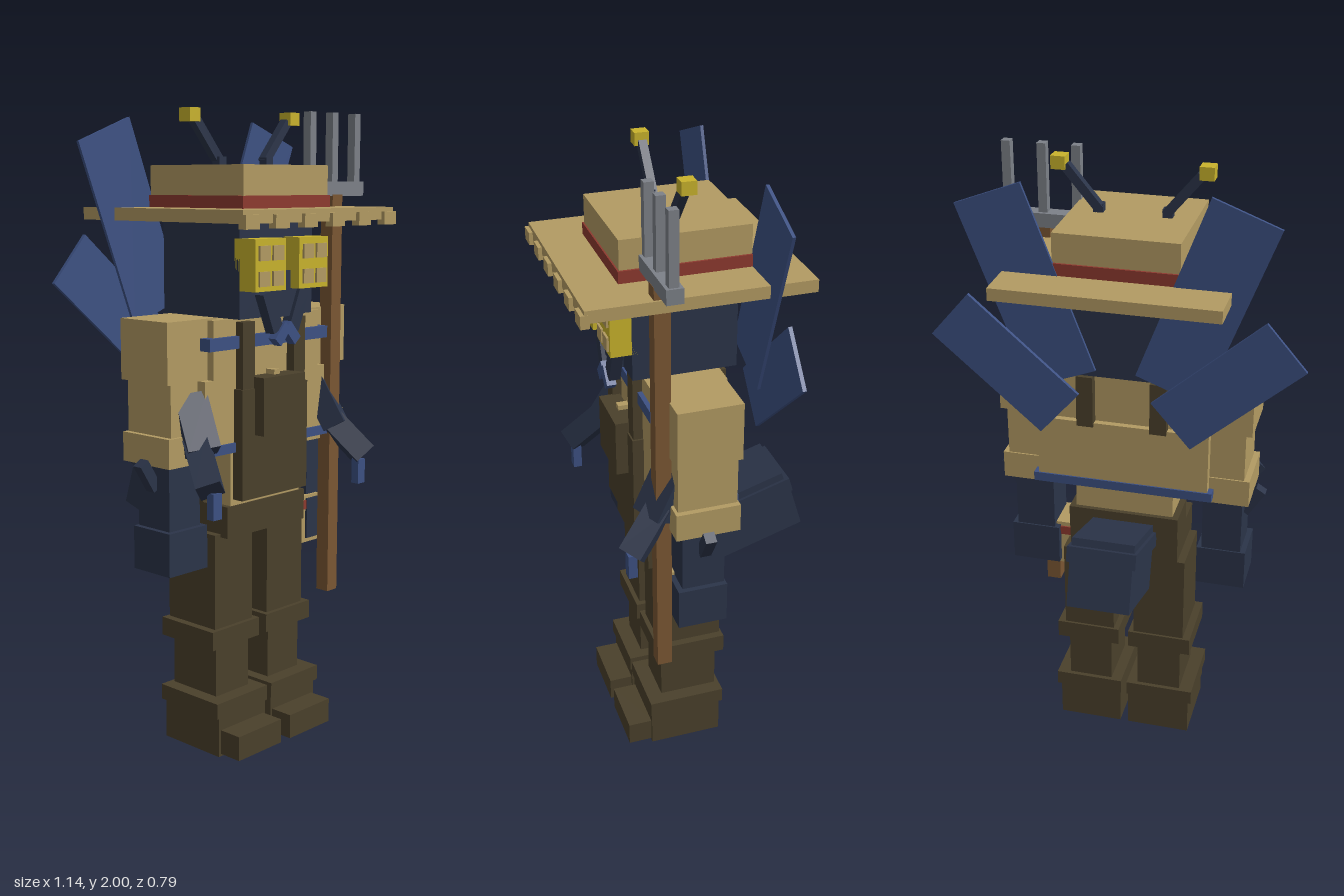
import * as THREE from 'three';

const mat = (name, color) => {
  const m = new THREE.MeshStandardMaterial({ color });
  m.name = name;
  return m;
};

export function createModel() {
  const root = new THREE.Group();
  root.name = 'scarecrowInsect';
  const tan = mat('straw', 0xb39b63), navy = mat('navy', 0x2b3449), blue = mat('blue', 0x3d5183),
    brown = mat('brown', 0x4a402b), yellow = mat('yellow', 0xc9b32c), red = mat('red', 0x8e3a2f),
    grey = mat('steel', 0x7d8188), wood = mat('wood', 0x7b5733);

  // Box given by its extents on each axis
  const box = (name, m, [x0, x1], [y0, y1], [z0, z1], parent = root) => {
    const mesh = new THREE.Mesh(new THREE.BoxGeometry(x1 - x0, y1 - y0, z1 - z0), m);
    mesh.position.set((x0 + x1) / 2, (y0 + y1) / 2, (z0 + z1) / 2);
    mesh.name = name;
    parent.add(mesh);
    return mesh;
  };
  // The same box on both sides of the body
  const pair = (name, m, [a, b], y, z) => {
    box(name + 'Left', m, [a, b], y, z);
    box(name + 'Right', m, [-b, -a], y, z);
  };
  // Bar running from point a to point b, on both sides
  const barPair = (name, m, a, b, w, d) => {
    for (const s of [1, -1]) {
      const p = new THREE.Vector3(a[0] * s, a[1], a[2]), q = new THREE.Vector3(b[0] * s, b[1], b[2]);
      const dir = q.clone().sub(p);
      const mesh = new THREE.Mesh(new THREE.BoxGeometry(w, dir.length(), d), m);
      mesh.position.copy(p).add(q).multiplyScalar(0.5);
      mesh.quaternion.setFromUnitVectors(new THREE.Vector3(0, 1, 0), dir.normalize());
      mesh.name = name + (s > 0 ? 'Left' : 'Right');
      root.add(mesh);
    }
  };

  // Hat with band and ragged front fringe
  box('hatBrim', tan, [-0.34, 0.34], [1.67, 1.708], [-0.3, 0.38]);
  box('hatCrown', tan, [-0.19, 0.19], [1.7, 1.835], [-0.155, 0.24]);
  box('hatBand', red, [-0.197, 0.197], [1.7, 1.745], [-0.162, 0.245]);
  for (let i = 0; i < 6; i++) {
    const x = -0.313 + i * 0.125;
    box('brimFringe', tan, [x - 0.029, x + 0.029], [1.655, 1.695], [0.365, 0.392]);
  }

  // Antennae
  pair('antennaBase', navy, [0.09, 0.12], [1.83, 1.86], [0.045, 0.075]);
  barPair('antennaStalk', navy, [0.1, 1.845, 0.052], [0.205, 1.97, 0.052], 0.028, 0.026);
  pair('antennaTip', yellow, [0.2, 0.244], [1.96, 2], [0.03, 0.075]);

  // Head, goggles and mouthparts
  box('head', navy, [-0.165, 0.165], [1.38, 1.67], [-0.125, 0.2]);
  pair('goggle', yellow, [0.03, 0.165], [1.465, 1.62], [0.18, 0.265]);
  for (const x of [0.069, 0.129])
    for (const y of [1.502, 1.578])
      pair('gogglePane', tan, [x - 0.023, x + 0.023], [y - 0.022, y + 0.022], [0.262, 0.272]);
  box('snout', navy, [-0.07, 0.07], [1.38, 1.52], [0.19, 0.23]);
  barPair('mandible', navy, [0.085, 1.46, 0.225], [0.035, 1.34, 0.225], 0.045, 0.035);
  barPair('mandibleTip', blue, [0.045, 1.305, 0.235], [0, 1.355, 0.235], 0.035, 0.03);

  // Shirt
  box('chest', tan, [-0.24, 0.24], [1.18, 1.38], [-0.07, 0.165]);
  box('shirtBody', tan, [-0.275, 0.275], [0.99, 1.2], [-0.09, 0.165]);
  box('waist', tan, [-0.16, 0.16], [0.8, 0.99], [-0.06, 0.16]);
  box('shirtHem', blue, [-0.29, 0.29], [0.97, 1], [-0.095, 0.172]);
  box('collar', blue, [-0.27, 0.27], [1.29, 1.328], [0.14, 0.18]);

  // Sleeves
  pair('shoulder', tan, [0.2, 0.405], [1.2, 1.385], [-0.062, 0.14]);
  pair('sleeve', tan, [0.23, 0.385], [1.03, 1.2], [-0.055, 0.132]);
  pair('sleeveCuff', tan, [0.22, 0.403], [0.95, 1.04], [-0.06, 0.142]);

  // Hanging arms with elbow spikes
  pair('lowerArm', navy, [0.25, 0.378], [0.74, 0.96], [-0.02, 0.115]);
  pair('hand', navy, [0.235, 0.395], [0.615, 0.75], [-0.025, 0.132]);
  barPair('armSpike', navy, [0.375, 0.875, 0.045], [0.428, 0.96, 0.045], 0.035, 0.035);

  // Small second pair of arms, reaching forward
  barPair('secondUpperArm', navy, [0.285, 1.15, 0.105], [0.31, 0.995, 0.19], 0.1, 0.075);
  barPair('secondForearm', navy, [0.305, 1.02, 0.16], [0.36, 0.9, 0.27], 0.075, 0.075);
  pair('claw', blue, [0.32, 0.355], [0.81, 0.89], [0.25, 0.278]);

  // Dungarees
  box('bib', brown, [-0.15, 0.15], [0.82, 1.165], [0.13, 0.2]);
  box('bibPocket', brown, [-0.095, 0.095], [1.02, 1.2], [0.17, 0.238]);
  box('bibButton', tan, [-0.013, 0.013], [1.195, 1.215], [0.17, 0.205]);
  pair('frontStrap', brown, [0.09, 0.143], [1.16, 1.37], [0.15, 0.195]);
  pair('backStrap', brown, [0.09, 0.143], [1.19, 1.36], [-0.1, -0.06]);
  box('pelvis', brown, [-0.18, 0.18], [0.7, 0.8], [-0.07, 0.165]);
  box('rearWaistband', brown, [-0.18, 0.18], [0.8, 0.875], [-0.075, 0.06]);

  // Trouser legs and boots
  pair('thigh', brown, [0.035, 0.205], [0.4, 0.71], [-0.07, 0.135]);
  pair('kneeCuff', brown, [0.017, 0.23], [0.345, 0.405], [-0.078, 0.15]);
  pair('shin', brown, [0.047, 0.195], [0.17, 0.35], [-0.06, 0.13]);
  pair('bootCuff', brown, [0.01, 0.24], [0.13, 0.18], [-0.074, 0.18]);
  pair('boot', brown, [0.014, 0.228], [0, 0.13], [-0.066, 0.174]);
  pair('bootToe', brown, [0.022, 0.218], [0.008, 0.087], [0.17, 0.252]);

  // Hip pouch with red band
  box('pouch', tan, [0.17, 0.3], [0.6, 0.76], [0, 0.125]);
  box('pouchBand', red, [0.165, 0.305], [0.715, 0.745], [-0.005, 0.13]);

  // Insect abdomen, tipped up at the rear
  const abdomen = new THREE.Group();
  abdomen.name = 'abdomen';
  abdomen.position.set(0, 0.757, -0.232);
  abdomen.rotation.x = 0.3;
  box('abdomenBody', navy, [-0.1, 0.1], [-0.09, 0.09], [-0.142, 0.142], abdomen);
  box('abdomenPlate', navy, [-0.11, 0.11], [0.055, 0.105], [-0.146, 0.146], abdomen);
  box('abdomenTop', navy, [-0.1, 0.1], [0.1, 0.13], [-0.13, 0.138], abdomen);
  root.add(abdomen);

  // Two pairs of flat wings
  barPair('upperWing', blue, [0.162, 1.38, -0.16], [0.375, 1.94, -0.16], 0.215, 0.01);
  barPair('lowerWing', blue, [0.173, 1.268, -0.172], [0.508, 1.56, -0.172], 0.185, 0.012);

  // Pitchfork
  box('forkPole', wood, [0.285, 0.333], [0.43, 1.745], [0.135, 0.183]);
  box('forkCrossbar', grey, [0.185, 0.442], [1.74, 1.785], [0.132, 0.182]);
  for (const x of [0.2, 0.308, 0.42])
    box('forkTine', grey, [x - 0.014, x + 0.014], [1.78, 2], [0.143, 0.172]);

  return root;
}
